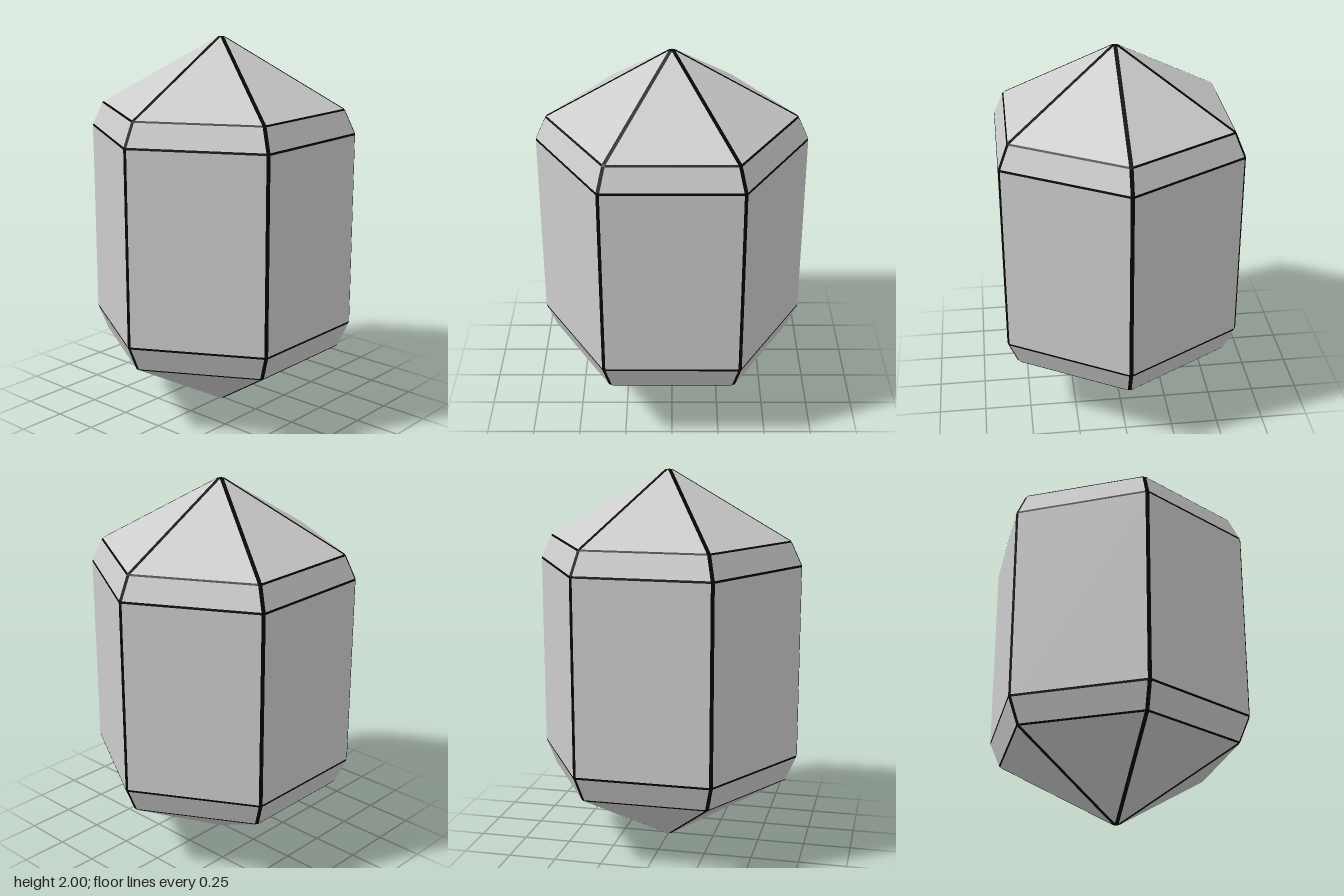
import * as THREE from 'three';

const EDGE = 0.02;  // width of the dark bevel on the upright and sloping edges
const RING = 0.006; // half width of the dark bevel around each ring
const INSET = EDGE / Math.sqrt(3);

// Corner radius and height, from the bottom tip to the top tip
const PROFILE = [
  [2 * INSET, 0], [0.647, 0.362], [0.705, 0.497],
  [0.705, 1.52], [0.647, 1.645], [2 * INSET, 2],
].map(([r, y]) => new THREE.Vector2(r, y));

// Hexagon with each corner cut by a narrow bevel
function bevelledHexagon(radius, y) {
  const corner = (k) => {
    const a = k * Math.PI / 3;
    return new THREE.Vector3(radius * Math.sin(a), y, radius * Math.cos(a));
  };
  const points = [];
  for (let k = 0; k < 6; k++) {
    for (const side of [-1, 1]) {
      points.push(corner(k).lerp(corner(k + side), INSET / radius));
    }
  }
  return points;
}

function makeMesh(name, triangles, color) {
  const geometry = new THREE.BufferGeometry().setFromPoints(triangles);
  geometry.computeVertexNormals();
  const material = new THREE.MeshStandardMaterial({ color });
  const mesh = new THREE.Mesh(geometry, material);
  mesh.name = name;
  return mesh;
}

export function createModel() {
  // Split every bend of the profile in two to leave room for its ring bevel
  const rows = [];
  PROFILE.forEach((p, i) => {
    if (i === 0 || i === PROFILE.length - 1) {
      rows.push(p);
      return;
    }
    for (const next of [PROFILE[i - 1], PROFILE[i + 1]]) {
      rows.push(next.clone().sub(p).setLength(RING).add(p));
    }
  });
  const loops = rows.map((p) => bevelledHexagon(p.x, p.y));

  // Facets lie between the bevels; odd rows and even columns are bevels
  const facets = [];
  const edges = [];
  for (let j = 0; j < loops.length - 1; j++) {
    for (let i = 0; i < 12; i++) {
      const n = (i + 1) % 12;
      const a = loops[j][i], b = loops[j][n];
      const c = loops[j + 1][n], d = loops[j + 1][i];
      const target = j % 2 === 1 || i % 2 === 0 ? edges : facets;
      target.push(a, b, c, a, c, d);
    }
  }

  // Tiny caps closing both tips
  const bottom = loops[0], top = loops[loops.length - 1];
  for (let i = 0; i < 12; i += 2) {
    edges.push(new THREE.Vector3(0, 0, 0), bottom[i + 1], bottom[i]);
    edges.push(new THREE.Vector3(0, 2, 0), top[i], top[i + 1]);
  }

  const group = new THREE.Group();
  group.name = 'crystal';
  group.add(makeMesh('crystalFacets', facets, 0xcccccc));
  group.add(makeMesh('darkEdges', edges, 0x050505));
  return group;
}
